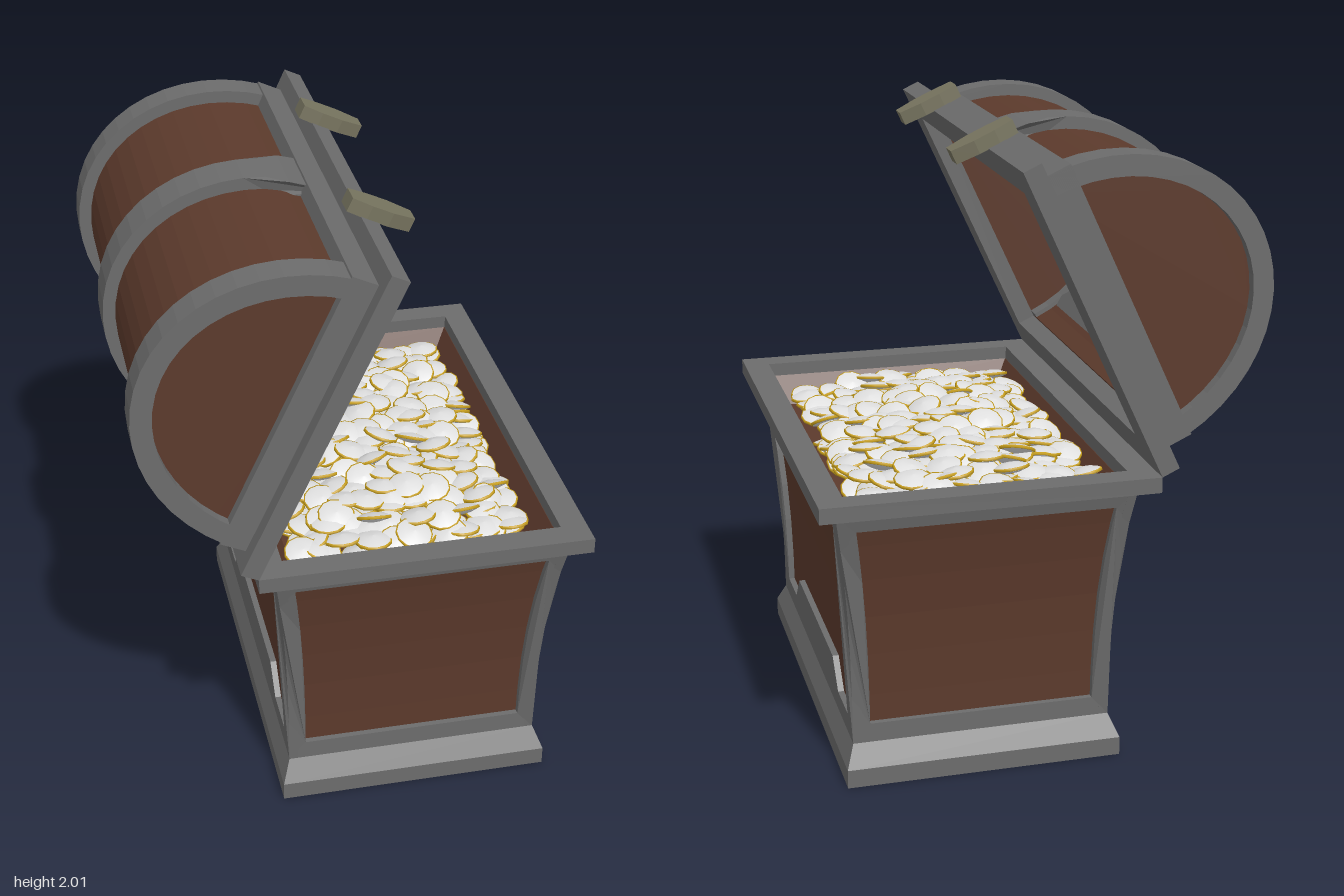
import * as THREE from 'three';
import { mergeGeometries } from 'three/addons/utils/BufferGeometryUtils.js';

const mat = (name, color, side = THREE.FrontSide) => {
  const m = new THREE.MeshStandardMaterial({ color, side });
  m.name = name;
  return m;
};

// Chest body flare: half width and half length at height y
const CX = 0.178, LEVELS = [0.125, 0.28, 0.42, 0.55, 0.68, 0.8, 0.92];
const flare = y => Math.pow(Math.max(0, (y - 0.125) / 0.795), 2.4);
const halfX = y => 0.415 + 0.055 * flare(y);
const halfZ = y => 0.645 + 0.09 * flare(y);

// Closed solid through rectangular sections [y, halfX, halfZ]
function loft(sections) {
  const pos = [];
  const ring = ([y, hx, hz]) => [[hx, y, hz], [hx, y, -hz], [-hx, y, -hz], [-hx, y, hz]];
  const quad = (a, b, c, d) => pos.push(...a, ...b, ...c, ...a, ...c, ...d);
  const rings = sections.map(ring);
  for (let s = 0; s < rings.length - 1; s++)
    for (let i = 0; i < 4; i++) {
      const j = (i + 1) % 4;
      quad(rings[s][i], rings[s][j], rings[s + 1][j], rings[s + 1][i]);
    }
  quad(...rings[0].slice().reverse());
  quad(...rings[rings.length - 1]);
  const g = new THREE.BufferGeometry();
  g.setAttribute('position', new THREE.Float32BufferAttribute(pos, 3));
  g.computeVertexNormals();
  return g;
}

const shapeOf = pts => new THREE.Shape(pts.map(p => new THREE.Vector2(p[0], p[1])));
const extrude = (shape, depth) => new THREE.ExtrudeGeometry(shape, { depth, bevelEnabled: false });

// Flat rectangular frame lying in xz, from y0 to y0 + h
function flatFrame(x0, x1, z, ix0, ix1, iz, y0, h) {
  const s = shapeOf([[x0, -z], [x1, -z], [x1, z], [x0, z]]);
  s.holes.push(shapeOf([[ix0, -iz], [ix0, iz], [ix1, iz], [ix1, -iz]]));
  return extrude(s, h).rotateX(-Math.PI / 2).translate(0, y0, 0);
}

// Curved frame on one side of the body
function sideFrame(across, out, border, notched) {
  const outline = (ys, inset, low = [], high = []) => [
    ...low,
    ...ys.map(y => [across(y) - inset, y]),
    ...high,
    ...ys.slice().reverse().map(y => [inset - across(y), y])];
  const low = notched ? [[-0.4, 0.19], [-0.32, 0.28], [0.32, 0.28], [0.4, 0.19]] : [];
  const high = notched ? [[0.4, 0.86], [0.32, 0.77], [-0.32, 0.77], [-0.4, 0.86]] : [];
  const s = shapeOf(outline(LEVELS, 0));
  s.holes.push(shapeOf(outline([0.19, ...LEVELS.slice(1, -1), 0.86], border, low, high)));
  const g = extrude(s, 0.03), p = g.attributes.position;
  for (let i = 0; i < p.count; i++) p.setZ(i, p.getZ(i) - 0.03 + out(p.getY(i)));
  g.computeVertexNormals();
  return g;
}

// Lid arch: half ellipses in the lid's own frame
const MID = 0.5275, BASE = 0.06, STEPS = 24;
const arc = (a, b) => Array.from({ length: STEPS + 1 }, (_, i) => {
  const t = (i / STEPS) * Math.PI;
  return [MID + a * Math.cos(t), BASE + b * Math.sin(t)];
});
const arch = (a, b, ia, ib, z0, z1) =>
  extrude(shapeOf([...arc(a, b), ...arc(ia, ib).reverse()]), z1 - z0).translate(0, 0, z0);

export function createModel() {
  const iron = mat('grey iron', 0x6c6c6c);
  const wood = mat('brown wood', 0x5c3a2c, THREE.DoubleSide);
  const silver = mat('silver coin face', 0xdedede);
  const gold = mat('gold coin edge', 0xc9a01c);
  const brass = mat('dull brass', 0x77745f);
  const liner = mat('grey lining', 0x6c6c6c, THREE.DoubleSide);

  const model = new THREE.Group();
  model.name = 'treasureChest';
  const add = (parent, name, geo, material) => {
    const m = new THREE.Mesh(geo, material);
    m.name = name;
    parent.add(m);
    return m;
  };

  // Lower chest
  const body = new THREE.Group();
  body.name = 'body';
  body.position.x = CX;
  model.add(body);
  add(body, 'plinth', loft([[0, 0.4425, 0.69], [0.06, 0.4425, 0.69], [0.128, 0.415, 0.645]]), iron);
  add(body, 'woodenBox', loft([
    ...LEVELS.map(y => [y, halfX(y) - 0.02, halfZ(y) - 0.02]),
    [0.925, 0.44, 0.7], [0.83, 0.385, 0.645]]), wood);
  for (let i = 0; i < 4; i++) {
    const wide = i % 2 === 1;
    const g = wide ? sideFrame(halfZ, halfX, 0.087, true) : sideFrame(halfX, halfZ, 0.055, false);
    add(body, wide ? 'longSideFrame' : 'endFrame', g, iron).rotation.y = i * Math.PI / 2;
  }
  add(body, 'rim', flatFrame(-0.528, 0.527, 0.785, -0.443, 0.442, 0.7, 0.92, 0.05), iron);

  // Opened lid, hinged along the back rim
  const lid = new THREE.Group();
  lid.name = 'lid';
  lid.position.set(-0.35, 0.97, 0);
  lid.rotation.z = THREE.MathUtils.degToRad(65.1);
  model.add(lid);
  add(lid, 'lidRim', flatFrame(0, 1.055, 0.785, 0.11, 0.96, 0.655, 0, 0.06), iron);
  add(lid, 'lidBoards', arch(0.43, 0.495, 0.41, 0.475, -0.68, 0.68), wood);
  for (const s of [-1, 1]) {
    const span = (a, b) => (s > 0 ? [a, b] : [-b, -a]);
    add(lid, 'endBand', arch(0.47, 0.535, 0.405, 0.47, ...span(0.63, 0.735)), iron);
    add(lid, 'innerLip', arch(0.42, 0.485, 0.395, 0.46, ...span(0.605, 0.655)), iron);
    add(lid, 'endPanel', extrude(shapeOf(arc(0.41, 0.475)), 0.04).translate(0, 0, span(0.66, 0.7)[0]), wood);
    add(lid, 'endSill', new THREE.BoxGeometry(0.93, 0.085, 0.07), iron)
      .position.set(MID, 0.1025, s * 0.7);
    add(lid, 'sideSill', new THREE.BoxGeometry(0.053, 0.085, 1.47), iron)
      .position.set(MID + s * 0.4435, 0.1025, 0);
  }

  // Middle band widens where it meets the sills
  const band = arch(0.47, 0.535, 0.425, 0.49, -0.07, 0.07), bp = band.attributes.position;
  for (let i = 0; i < bp.count; i++) if (bp.getY(i) < 0.2) bp.setZ(i, bp.getZ(i) * 1.45);
  band.computeVertexNormals();
  add(lid, 'middleBand', band, iron);

  // Slanted lining sheet inside the lid
  const sheet = new THREE.ShapeGeometry(shapeOf([
    [0.6, 0], [0.6, 0.1], [0.4, 0.4], [0.18, 0.67], [-0.27, 1], [-0.6, 1], [-0.6, 0]]));
  const sp = sheet.attributes.position;
  for (let i = 0; i < sp.count; i++) {
    const z = sp.getX(i), t = sp.getY(i);
    sp.setXYZ(i, 0.125 + 0.245 * t, 0.145 + 0.345 * t, z);
  }
  sheet.computeVertexNormals();
  add(lid, 'liningSheet', sheet, liner);

  // Clasps on the lid's free edge
  const claspShape = shapeOf([
    [-0.03, -0.105], [0.03, -0.105], [0.047, -0.03], [0.047, 0.04],
    [0.036, 0.105], [-0.036, 0.105], [-0.047, 0.04], [-0.047, -0.03]]);
  for (const z of [-0.355, 0.355])
    add(lid, 'clasp', extrude(claspShape, 0.045).rotateY(Math.PI / 2).translate(1.053, 0, z), brass);

  // Heap of coins: domed silver faces with gold edges
  const lathe = pts => new THREE.LatheGeometry(pts.map(p => new THREE.Vector2(p[0], p[1])), 12);
  const faces = mergeGeometries([
    lathe([[0, -0.018], [0.032, -0.014], [0.056, -0.005]]),
    lathe([[0.056, 0.005], [0.032, 0.014], [0, 0.018]])]);
  const edge = lathe([[0.055, -0.005], [0.06, -0.004], [0.06, 0.004], [0.055, 0.005]]);
  let seed = 7;
  const rnd = () => (seed = (seed * 16807) % 2147483647) / 2147483647;
  const faceList = [], edgeList = [], coin = new THREE.Object3D();
  for (let layer = 0; layer < 2; layer++)
    for (let i = 0; i < 10; i++)
      for (let j = 0; j < 17; j++) {
        const u = (i + 0.5) / 5 - 1, v = (j + 0.5) / 8.5 - 1;
        const mound = (1 - u * u) * (1 - v * v * v * v);
        coin.position.set(
          0.165 + u * 0.36 + (rnd() - 0.5) * 0.06,
          0.865 + layer * 0.025 + mound * 0.06 + rnd() * 0.025,
          v * 0.6 + (rnd() - 0.5) * 0.06);
        coin.rotation.set((rnd() - 0.5) * 0.8, rnd() * 6, (rnd() - 0.5) * 0.8);
        coin.updateMatrix();
        faceList.push(faces.clone().applyMatrix4(coin.matrix));
        edgeList.push(edge.clone().applyMatrix4(coin.matrix));
      }
  add(model, 'coinFaces', mergeGeometries(faceList), silver);
  add(model, 'coinEdges', mergeGeometries(edgeList), gold);

  return model;
}
